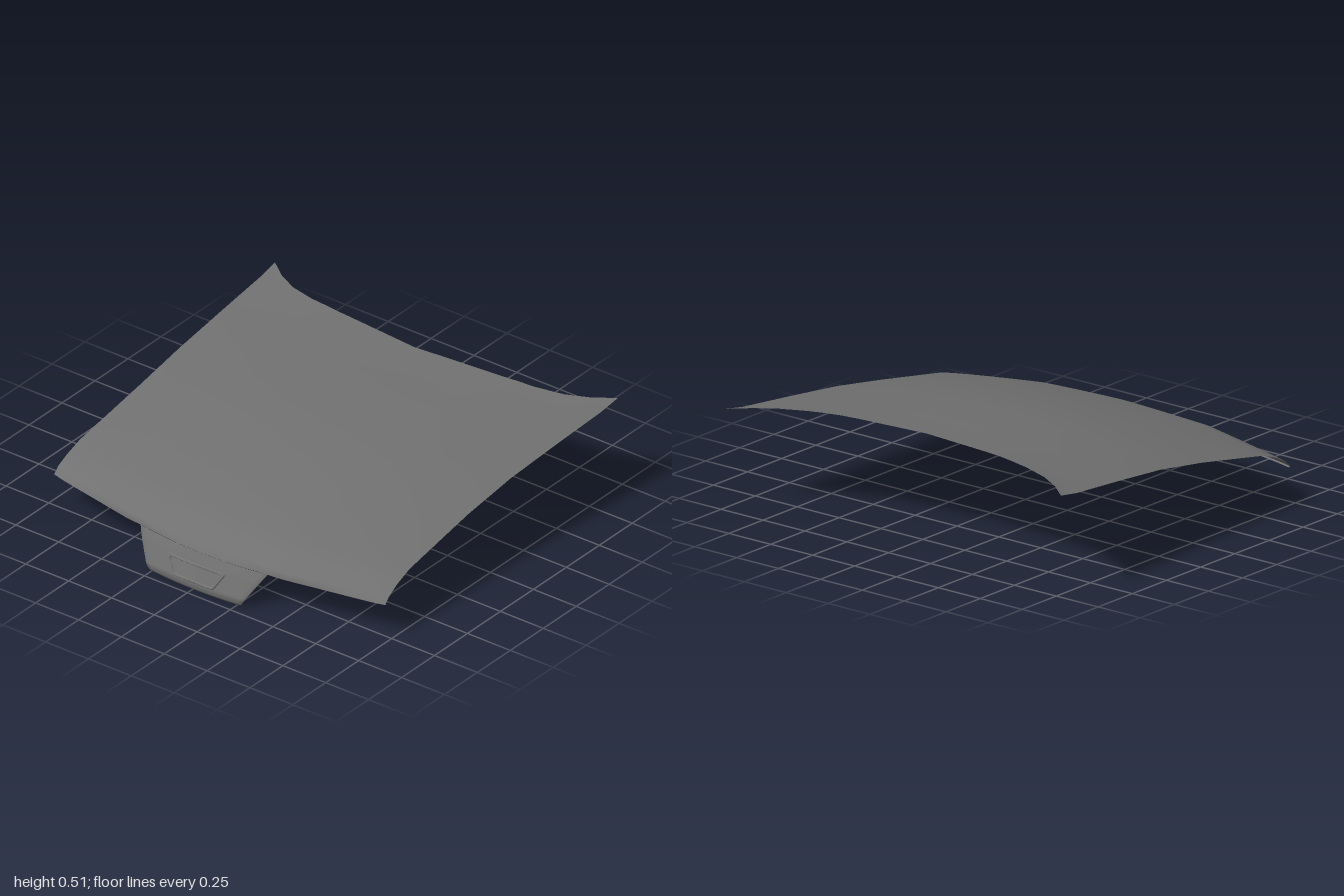
import * as THREE from 'three';

const material = new THREE.MeshStandardMaterial({ color: 0x707070, side: THREE.DoubleSide });
const { lerp } = THREE.MathUtils;

// Smooth sheet from f(j, i) -> [x, y, z], j = 0..nu across, i = 0..nv along
function sheet(name, f, nu, nv) {
  const pos = [], idx = [];
  for (let i = 0; i <= nv; i++)
    for (let j = 0; j <= nu; j++) {
      pos.push(...f(j, i));
      if (i < nv && j < nu) {
        const a = i * (nu + 1) + j, c = a + nu + 1;
        idx.push(a, a + 1, c, a + 1, c + 1, c);
      }
    }
  const g = new THREE.BufferGeometry();
  g.setAttribute('position', new THREE.Float32BufferAttribute(pos, 3));
  g.setIndex(idx);
  g.computeVertexNormals();
  const mesh = new THREE.Mesh(g, material);
  mesh.name = name;
  return mesh;
}

// Piecewise linear lookup in [key, value] pairs
function lookup(table, key) {
  let i = 0;
  while (i < table.length - 2 && key > table[i + 1][0]) i++;
  const [[k0, v0], [k1, v1]] = [table[i], table[i + 1]];
  return lerp(v0, v1, (key - k0) / (k1 - k0));
}

// Lengthwise rows, front lip to rear edge: centre y, z, then side x, y, z
const rows = [
  [0.172, 0.905, 0.965, 0.17, 0.755],
  [0.207, 0.885, 0.965, 0.2, 0.725],
  [0.26, 0.8, 0.962, 0.235, 0.66],
  [0.303, 0.71, 0.96, 0.27, 0.565],
  [0.366, 0.425, 0.958, 0.311, 0.34],
  [0.427, 0.14, 0.957, 0.352, 0.112],
  [0.462, -0.138, 0.965, 0.4, -0.198],
  [0.485, -0.46, 0.98, 0.433, -0.53],
  [0.5, -0.64, 0.995, 0.461, -0.845],
  [0.508, -0.72, 1, 0.481, -0.966],
];

// Columns from centre to side: how far each has moved from centre to side values
const columns = [0, 0.13, 0.25, 0.38, 0.47, 0.56, 0.65, 0.73, 0.79, 0.85, 0.9, 0.95, 1];
const frontEdge = [[0, 0], [0.13, 0.027], [0.25, 0.1], [0.38, 0.213], [0.47, 0.27], [0.93, 0.87], [1, 1]];
const frontRow = [[0, 0], [0.47, 0.15], [0.93, 0.85], [1, 1]];
const rearEdge = [[0, 0], [0.46, 0.16], [0.65, 0.28], [0.79, 0.44], [0.9, 0.68], [1, 1]];
const rearDrop = [[0, 0], [0.4, 0], [0.52, 0.08], [0.79, 0.66], [1, 1]];

function hoodAt(s, i) {
  const a = Math.abs(s), [cy, cz, ex, ey, ez] = rows[i];
  const t = THREE.MathUtils.smoothstep(i, 3, 9);
  const wz = lerp(lookup(i === 0 ? frontEdge : frontRow, a), lookup(rearEdge, a), t);
  const wy = lerp(a ** 2.2, lookup(rearDrop, a), t ** 3);
  return [s * ex, lerp(cy, ey, wy), lerp(cz, ez, wz)];
}

const n = columns.length - 1;
const hoodPoint = (j, i) => hoodAt(Math.sign(j - n) * columns[Math.abs(j - n)], i);

// Front face of the drop panel
const panelDepth = [[0, 0.958], [0.03, 0.963], [0.13, 0.925], [0.172, 0.905]];
const panelZ = (x, y) => lookup(panelDepth, y) - 0.032 * (x / 0.37) ** 2;

function panelPoint(j, i) {
  const flange = j === 0 || j === 26 || i === 0;   // thin edge turned backwards
  const s = THREE.MathUtils.clamp((j - 1) / 12 - 1, -1, 1);
  const y = 0.172 * Math.max(0, (i - 1) / 20);
  const x = s * lerp(0.265, 0.37, y / 0.172);
  return [x, y, panelZ(x, y) - (flange ? 0.008 : 0)];
}

// Rounded trapezoid outline, wide at the top
function trapezoid(inset) {
  const top = 0.127 - inset, bottom = 0.038 + inset, r = 0.012;
  const wt = 0.17 - inset * 1.6, wb = 0.122 - inset * 0.8;
  const path = new THREE.Path();
  path.moveTo(-wb + r, bottom);
  path.lineTo(wb - r, bottom);
  path.quadraticCurveTo(wb, bottom, wb + r * 0.5, bottom + r);
  path.lineTo(wt - r * 0.4, top - r);
  path.quadraticCurveTo(wt, top, wt - r, top);
  path.lineTo(-wt + r, top);
  path.quadraticCurveTo(-wt, top, -wt + r * 0.4, top - r);
  path.lineTo(-wb - r * 0.5, bottom + r);
  path.quadraticCurveTo(-wb, bottom, -wb + r, bottom);
  return path.getSpacedPoints(90).slice(0, -1);
}

export function createModel() {
  const group = new THREE.Group();
  group.name = 'hood';
  group.add(sheet('hoodSkin', hoodPoint, 2 * n, rows.length - 1));
  group.add(sheet('frontDropPanel', panelPoint, 26, 21));

  // Narrow rim folded under the front edge on each side of the panel
  for (const [name, from, to] of [['leftFrontRim', 0.385, 1], ['rightFrontRim', -1, -0.385]])
    group.add(sheet(name, (j, i) => {
      const [x, y, z] = hoodAt(lerp(from, to, j / 12), 0);
      return i ? [x, y, z] : [x, y - 0.002, z - 0.014];
    }, 12, 1));

  // Raised bevelled frame laid onto the sloping drop panel
  const shape = new THREE.Shape(trapezoid(0));
  shape.holes.push(new THREE.Path(trapezoid(0.013)));
  const frameGeo = new THREE.ExtrudeGeometry(shape, {
    depth: 0.001, bevelThickness: 0.005, bevelSize: 0.004, bevelOffset: -0.004, bevelSegments: 1,
  });
  const p = frameGeo.attributes.position;
  for (let i = 0; i < p.count; i++) p.setZ(i, p.getZ(i) + 0.0055 + panelZ(p.getX(i), p.getY(i)));
  frameGeo.computeVertexNormals();
  const frame = new THREE.Mesh(frameGeo, material);
  frame.name = 'panelFrame';
  group.add(frame);
  return group;
}
